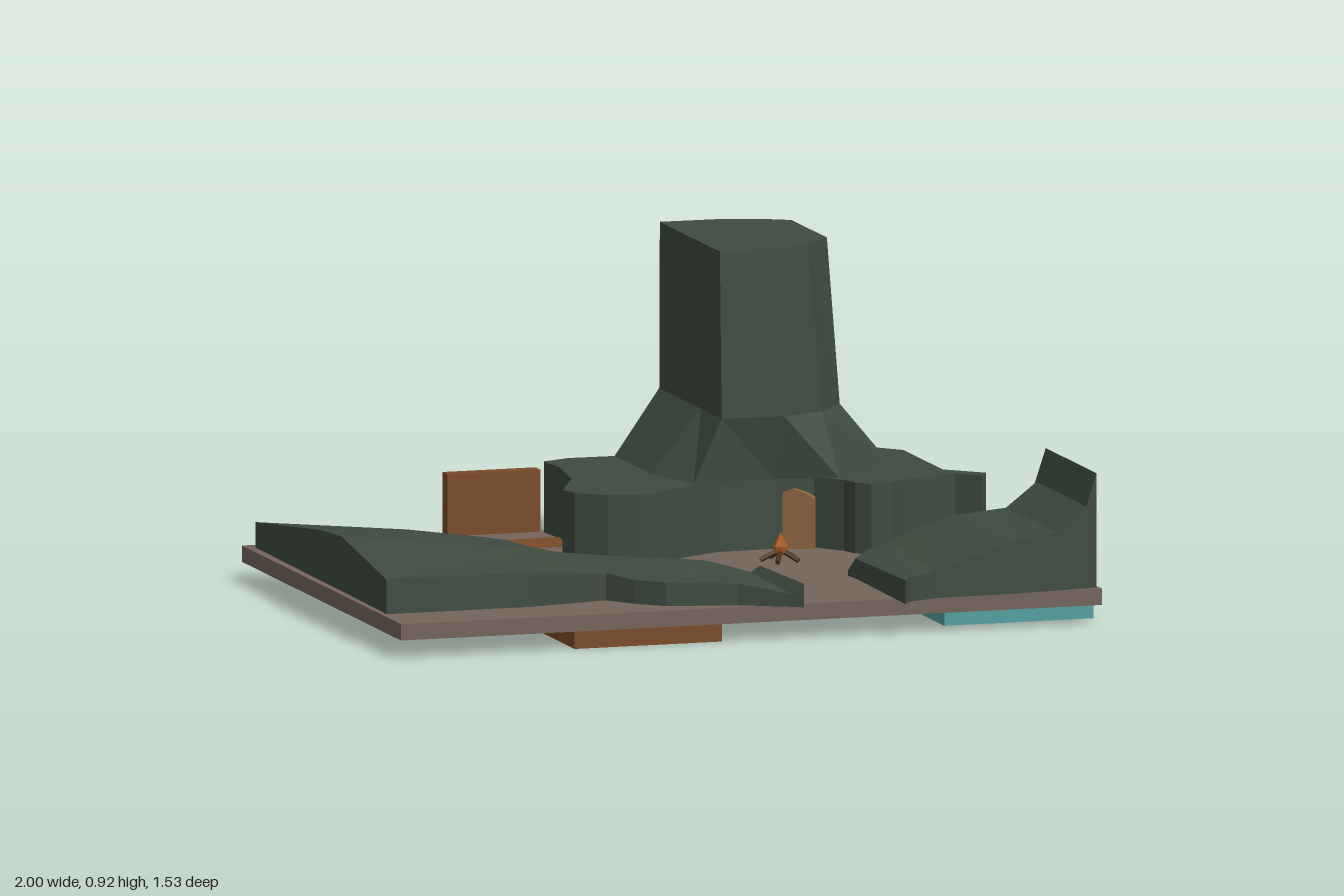
import * as THREE from 'three';

const GROUND = 0.095;
const mat = (color) => new THREE.MeshStandardMaterial({ color, flatShading: true });
const green = mat(0x3e4b3f), earth = mat(0x74645b), brown = mat(0x7a4a28),
  teal = mat(0x54a0a0), tan = mat(0x8f6540), wood = mat(0x4a3222), fire = mat(0xa85a1c);

function add(parent, name, geometry, material, x = 0, y = 0, z = 0) {
  const mesh = new THREE.Mesh(geometry, material);
  mesh.name = name;
  mesh.position.set(x, y, z);
  parent.add(mesh);
  return mesh;
}

// box from its min and max corners
function block(parent, name, material, x0, x1, y0, y1, z0, z1) {
  return add(parent, name, new THREE.BoxGeometry(x1 - x0, y1 - y0, z1 - z0), material,
    (x0 + x1) / 2, (y0 + y1) / 2, (z0 + z1) / 2);
}

function fromTriangles(points) {
  const geometry = new THREE.BufferGeometry().setFromPoints(points);
  geometry.computeVertexNormals();
  return geometry;
}

const quad = (out, a, b, c, d) => out.push(a, b, c, a, c, d);

// flat cap over a loop that runs counter-clockwise from above
function cap(out, loop, up) {
  const flat = loop.map((p) => new THREE.Vector2(p.x, -p.z));
  for (const [a, b, c] of THREE.ShapeUtils.triangulateShape(flat, [])) {
    if (up) out.push(loop[a], loop[b], loop[c]);
    else out.push(loop[a], loop[c], loop[b]);
  }
}

// walls between an upper and a lower loop
function walls(out, top, bottom) {
  top.forEach((p, i) => {
    const j = (i + 1) % top.length;
    quad(out, p, bottom[i], bottom[j], top[j]);
  });
}

// terrain sheet from rows of [x, z, height], with walls down to the ground
function terrain(rows) {
  const g = rows.map((r) => r.map(([x, z, y]) => new THREE.Vector3(x, y, z)));
  const out = [], n = g.length - 1, m = g[0].length - 1;
  for (let i = 0; i < n; i++)
    for (let j = 0; j < m; j++) quad(out, g[i][j], g[i + 1][j], g[i + 1][j + 1], g[i][j + 1]);
  const rim = [
    ...g.map((r) => r[0]), ...g[n].slice(1),
    ...g.slice(0, n).reverse().map((r) => r[m]), ...g[0].slice(1, m).reverse(),
  ];
  const foot = rim.map((p) => new THREE.Vector3(p.x, GROUND, p.z));
  walls(out, rim, foot);
  cap(out, foot, false);
  return fromTriangles(out);
}

// solid lofted upward through rings of [x, z] at the given heights
function loft(heights, rings) {
  const loops = rings.map((r, i) => r.map(([x, z]) => new THREE.Vector3(x, heights[i], z)));
  const out = [];
  for (let i = 1; i < loops.length; i++) walls(out, loops[i], loops[i - 1]);
  cap(out, loops[0], false);
  cap(out, loops[loops.length - 1], true);
  return fromTriangles(out);
}

// sliding board under the base, with a finger slot
function slider(parent, name, material, x0, x1, y0) {
  const rect = (path, a, b, c, d) => path.moveTo(a, c).lineTo(b, c).lineTo(b, d).lineTo(a, d).closePath();
  const shape = rect(new THREE.Shape(), x0, x1, -0.655, 0.77);
  shape.holes.push(rect(new THREE.Path(), x1 - 0.13, x1 - 0.09, -0.11, 0.18));
  const geometry = new THREE.ExtrudeGeometry(shape, { depth: 0.05 - y0, bevelEnabled: false });
  add(parent, name, geometry.rotateX(-Math.PI / 2), material, 0, y0, 0);
}

export function createModel() {
  const model = new THREE.Group();
  model.name = 'terrainPlayset';

  // base and sliders
  block(model, 'base', earth, -1, 1, 0.05, GROUND, -0.745, 0.67);
  slider(model, 'brownSlider', brown, -0.5, -0.08, 0);
  slider(model, 'tealSlider', teal, 0.555, 0.98, 0.012);
  block(model, 'sliderGate', brown, -0.42, -0.155, 0.04, 0.265, -0.77, -0.725);
  block(model, 'floorPlate', brown, -0.46, -0.13, 0.08, 0.097, -0.61, -0.46);

  // low hills: outer edge, crease, inner edge
  add(model, 'rightHill', terrain([
    [[-0.975, -0.7, 0.165], [-0.7, -0.7, 0.135], [-0.455, -0.7, 0.1]],
    [[-0.98, -0.1, 0.235], [-0.7, -0.22, 0.205], [-0.43, -0.35, 0.15]],
    [[-0.98, 0.08, 0.245], [-0.68, 0.06, 0.215], [-0.45, -0.11, 0.18]],
    [[-0.985, 0.495, 0.19], [-0.5, 0.12, 0.195], [-0.415, -0.03, 0.175]],
    [[-0.575, 0.495, 0.19], [-0.4, 0.15, 0.185], [-0.36, 0.02, 0.165]],
    [[-0.345, 0.45, 0.17], [-0.22, 0.19, 0.17], [-0.2, 0.1, 0.15]],
    [[-0.29, 0.53, 0.16], [-0.1, 0.22, 0.165], [-0.03, 0.13, 0.14]],
    [[-0.22, 0.595, 0.16], [0, 0.27, 0.16], [0.06, 0.19, 0.13]],
    [[-0.03, 0.64, 0.155], [0.06, 0.3, 0.145], [0.09, 0.22, 0.12]],
    [[0.1, 0.71, 0.13], [0.11, 0.32, 0.13], [0.12, 0.26, 0.115]],
    [[0.13, 0.73, 0.16], [0.13, 0.34, 0.15], [0.13, 0.27, 0.12]],
  ]), green);

  // rows run from the high outer side to the path; inner edge, crease, front edge
  add(model, 'leftHill', terrain([
    [[0.985, -0.06, 0.1], [0.99, 0.2, 0.41], [0.99, 0.65, 0.41]],
    [[0.94, -0.02, 0.11], [0.96, 0.21, 0.32], [0.96, 0.655, 0.32]],
    [[0.85, 0.04, 0.13], [0.87, 0.22, 0.255], [0.87, 0.665, 0.255]],
    [[0.7, 0.085, 0.13], [0.7, 0.22, 0.24], [0.75, 0.68, 0.24]],
    [[0.52, 0.1, 0.12], [0.53, 0.23, 0.18], [0.52, 0.69, 0.17]],
    [[0.46, 0.18, 0.11], [0.45, 0.26, 0.16], [0.44, 0.72, 0.16]],
    [[0.41, 0.25, 0.11], [0.415, 0.3, 0.15], [0.41, 0.76, 0.16]],
  ]), green);

  // flat-topped mound and the tall rock on it
  const outline = [
    [-0.15, -0.71], [-0.14, -0.6], [-0.17, -0.4], [-0.25, -0.23], [-0.235, -0.17],
    [-0.16, -0.11], [-0.07, -0.085], [0, -0.12], [0.11, -0.2], [0.2, -0.245], [0.36, -0.25],
    [0.47, -0.24], [0.53, -0.16], [0.545, -0.11], [0.58, -0.07], [0.64, -0.08], [0.69, -0.12],
    [0.85, -0.17], [0.91, -0.12], [0.935, -0.16], [0.84, -0.25], [0.84, -0.6], [0.73, -0.72],
    [0.56, -0.71], [0.37, -0.765], [0.2, -0.775], [0.08, -0.74], [-0.07, -0.745],
  ];
  add(model, 'mound', loft([GROUND, 0.29], [outline, outline]), green);
  add(model, 'rockTower', loft([0.288, 0.465, 0.923], [
    [[0.06, -0.74], [0.06, -0.41], [0.12, -0.22], [0.36, -0.25], [0.53, -0.2],
      [0.735, -0.38], [0.735, -0.71], [0.56, -0.71], [0.37, -0.765], [0.2, -0.775]],
    [[0.199, -0.75], [0.199, -0.4], [0.2, -0.22], [0.375, -0.21], [0.5, -0.26],
      [0.585, -0.37], [0.585, -0.7], [0.51, -0.72], [0.37, -0.765], [0.2, -0.775]],
    [[0.199, -0.74], [0.199, -0.4], [0.2, -0.235], [0.375, -0.23], [0.465, -0.28],
      [0.55, -0.375], [0.55, -0.69], [0.5, -0.72], [0.37, -0.765], [0.2, -0.77]],
  ]), green);

  // peaked door
  const doorShape = new THREE.Shape([[-0.055, 0], [0.055, 0], [0.055, 0.14], [0.03, 0.155],
    [0, 0.165], [-0.03, 0.155], [-0.055, 0.14]].map(([x, y]) => new THREE.Vector2(x, y)));
  const door = add(model, 'door',
    new THREE.ExtrudeGeometry(doorShape, { depth: 0.045, bevelEnabled: false }), tan, 0.43, GROUND, -0.275);
  door.rotation.y = -0.45;

  // campfire
  const campfire = new THREE.Group();
  campfire.name = 'campfire';
  campfire.position.set(0.31, GROUND, -0.04);
  model.add(campfire);
  for (let i = 0; i < 5; i++) {
    const log = new THREE.CylinderGeometry(0.007, 0.007, 0.06, 6)
      .rotateZ(1.1).translate(0.028, 0.019, 0).rotateY(0.5 + i * Math.PI * 0.4);
    add(campfire, 'log', log, wood);
  }
  add(campfire, 'flame', new THREE.LatheGeometry([[0, 0.015], [0.018, 0.025], [0.021, 0.042],
    [0.01, 0.062], [0, 0.08]].map(([x, y]) => new THREE.Vector2(x, y)), 6), fire);
  return model;
}
